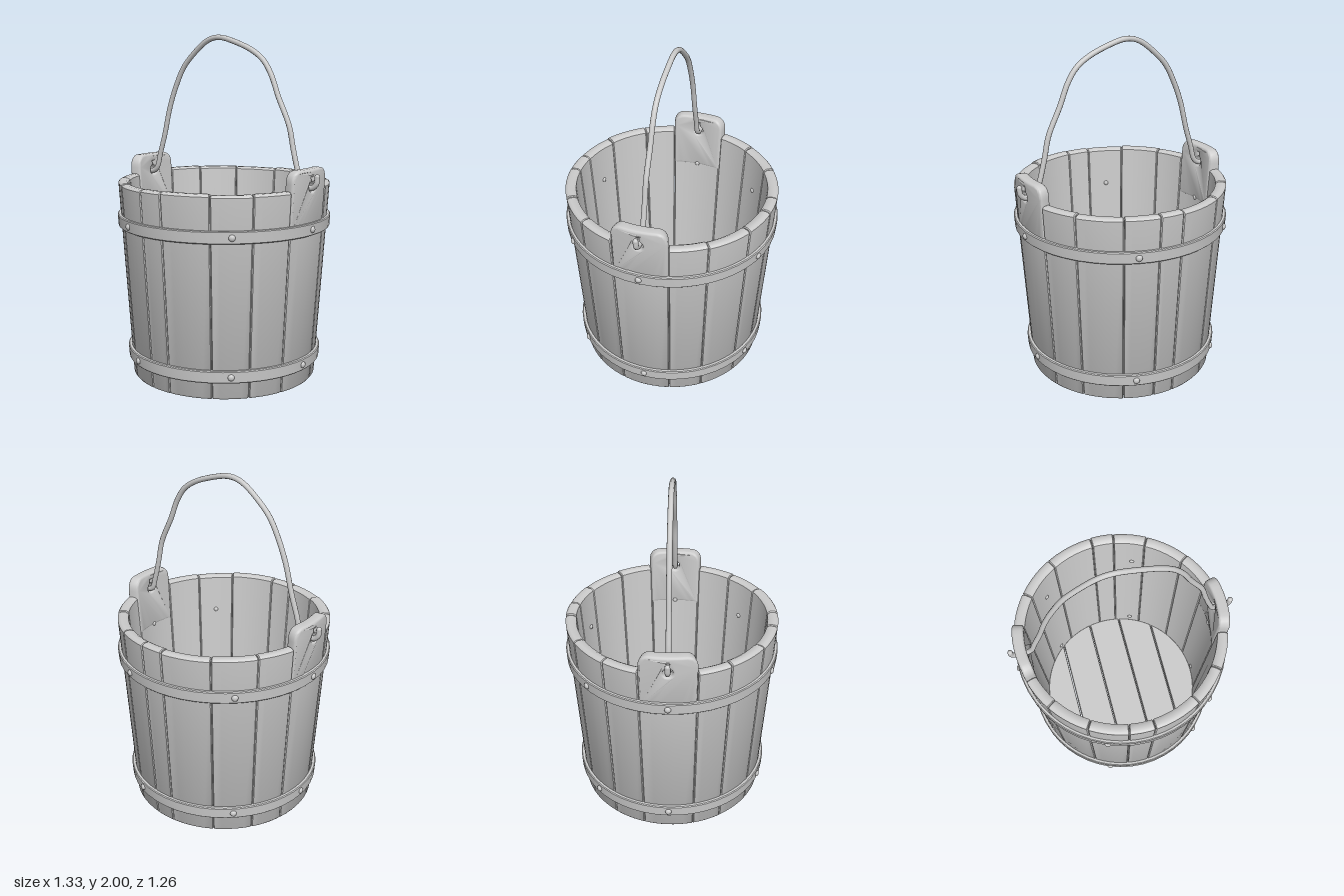
import * as THREE from 'three';
import { toCreasedNormals } from 'three/addons/utils/BufferGeometryUtils.js';

const material = new THREE.MeshStandardMaterial({ color: 0xcccccc });
const RIM = 1.165, WALL = 0.062, ARC = 0.6;
const rad = THREE.MathUtils.degToRad;
const outerR = (y) => 0.545 + 0.065 * y;

function addMesh(parent, geometry, name) {
  const mesh = new THREE.Mesh(geometry, material);
  mesh.name = name;
  parent.add(mesh);
  return mesh;
}

// Moves every vertex to polar form: rule returns [radius, height, angle from +x towards +z]
function bend(geometry, rule) {
  const p = geometry.attributes.position;
  for (let i = 0; i < p.count; i++) {
    const [r, y, a] = rule(p.getX(i), p.getY(i), p.getZ(i));
    p.setXYZ(i, r * Math.cos(a), y, r * Math.sin(a));
  }
  return toCreasedNormals(geometry, 0.6);
}

// A wall section swept around the axis between two angles
function stave(from, to, top) {
  const b = 0.005, c = 0.014;
  const o = (y) => outerR(y) - b, n = (y) => outerR(y) - WALL + b;
  const section = new THREE.Shape([
    [o(0) - 0.006, b], [o(0), b + 0.008], [o(top), top - c], [o(top) - 0.005, top - b - 0.003],
    [o(top) - c, top - b], [n(top) + c, top - b], [n(top), top - c], [n(0), b],
  ].map(([x, y]) => new THREE.Vector2(x, y)));
  const gap = 0.001;
  const geometry = new THREE.ExtrudeGeometry(section, {
    depth: (rad(to) - rad(from)) * ARC - 2 * (b + gap), steps: 5,
    bevelSize: b, bevelThickness: b, bevelSegments: 1,
  });
  return bend(geometry, (x, y, z) => [x, y, rad(from) + (z + b + gap) / ARC]);
}

// Tall, rounded upper end of a side stave, with a keyhole for the handle
function ear() {
  const b = 0.014, w = 0.162 - b, low = 0.94, high = 1.272 - b;
  const shape = new THREE.Shape();
  shape.moveTo(-w, low);
  for (let i = 1; i <= 10; i++) shape.lineTo(-w + (2 * w * i) / 10, low);
  shape.lineTo(w, high - 0.06);
  shape.quadraticCurveTo(w, high - 0.005, w - 0.045, high);
  for (let i = 1; i <= 8; i++) shape.lineTo((w - 0.045) * (1 - i / 4), high);
  shape.quadraticCurveTo(-w, high - 0.005, -w, high - 0.06);
  shape.closePath();
  const hole = new THREE.Path();
  hole.absarc(0, 1.172, 0.042, rad(60), rad(-240), true);
  hole.lineTo(-0.022, 1.24);
  hole.lineTo(0.022, 1.24);
  hole.closePath();
  shape.holes.push(hole);
  const geometry = new THREE.ExtrudeGeometry(shape, {
    depth: WALL + 0.004 - 2 * b, bevelSize: b, bevelThickness: b, bevelSegments: 3, curveSegments: 6,
  });
  return bend(geometry, (s, y, d) => [outerR(Math.min(y, 1.17)) - WALL + b + d - 0.002, y, -s / ARC]);
}

// Flat metal band following the taper of the wall
function hoop(y0, y1) {
  const t = 0.02, e = 0.005;
  const profile = [
    [outerR(y0) - 0.004, y0], [outerR(y0) + t - e, y0], [outerR(y0) + t, y0 + e],
    [outerR(y1) + t, y1 - e], [outerR(y1) + t - e, y1], [outerR(y1) - 0.004, y1],
  ].map(([x, y]) => new THREE.Vector2(x, y));
  return toCreasedNormals(new THREE.LatheGeometry(profile, 48), 0.6);
}

// Floor board: a strip of the disc between two x positions
function floorBoard(x0, x1, R) {
  const shape = new THREE.Shape();
  const edge = (x) => Math.sqrt(Math.max(0, R * R - x * x));
  const xs = [];
  for (let i = 0; i <= 10; i++) {
    const a = THREE.MathUtils.lerp(Math.acos(x0 / R), Math.acos(x1 / R), i / 10);
    xs.push(R * Math.cos(a));
  }
  xs.forEach((x, i) => (i ? shape.lineTo(x, -edge(x)) : shape.moveTo(x, -edge(x))));
  xs.reverse().forEach((x) => edge(x) > 0.001 && shape.lineTo(x, edge(x)));
  const geometry = new THREE.ExtrudeGeometry(shape, {
    depth: 0.04, bevelSize: 0.004, bevelThickness: 0.005, bevelSegments: 1,
  });
  return toCreasedNormals(geometry.rotateX(-Math.PI / 2), 0.6);
}

export function createModel() {
  const bucket = new THREE.Group();
  bucket.name = 'bucket';

  // Wall staves of uneven width; the two side staves stop under the upper hoop
  const staves = new THREE.Group();
  staves.name = 'staves';
  bucket.add(staves);
  const seams = [-15.5, 15.5, 37, 59, 86, 100, 122, 146, 164.5, 195.5, 216, 240, 267, 280, 299, 324, 344.5];
  for (let i = 0; i < seams.length - 1; i++) {
    const side = i === 0 || i === 8;
    const top = side ? 0.945 : RIM - 0.003 * (i % 3);
    addMesh(staves, stave(seams[i], seams[i + 1], top), side ? 'sideStave' : 'stave');
  }
  const earGeometry = ear();
  for (const turn of [0, Math.PI]) addMesh(staves, earGeometry, 'handleEar').rotation.y = turn;

  // Floor boards
  const floor = new THREE.Group();
  floor.name = 'floor';
  floor.position.y = 0.04;
  bucket.add(floor);
  const R = 0.487, cuts = [-R, -0.31, -0.1, 0.105, 0.31, R];
  for (let i = 0; i < 5; i++) {
    addMesh(floor, floorBoard(cuts[i] + (i ? 0.006 : 0), cuts[i + 1] - (i < 4 ? 0.006 : 0), R), 'floorBoard');
  }

  // Hoops with rivets that go through the wall
  const rivetGeometry = new THREE.SphereGeometry(0.019, 12, 8);
  for (const [name, y0, y1] of [['upperHoop', 0.898, 0.97], ['lowerHoop', 0.102, 0.174]]) {
    addMesh(bucket, hoop(y0, y1), name);
    const y = (y0 + y1) / 2;
    for (const angle of [0, 48, 111.5, 180, 228, 291.5]) {
      for (const [part, r, size] of [['rivet', outerR(y) + 0.02, 1], ['rivetTip', outerR(y) - WALL, 0.75]]) {
        const rivet = addMesh(bucket, rivetGeometry, part);
        rivet.position.set(r * Math.cos(rad(angle)), y, r * Math.sin(rad(angle)));
        rivet.rotation.y = -rad(angle);
        rivet.scale.set(0.7 * size, size, size);
      }
    }
  }

  // Bent wire handle, hooked outwards through both ears
  const path = new THREE.CatmullRomCurve3([
    [-0.648, 1.23], [-0.643, 1.19], [-0.615, 1.167], [-0.56, 1.166], [-0.528, 1.19], [-0.5, 1.28],
    [-0.462, 1.4], [-0.42, 1.56], [-0.37, 1.69], [-0.305, 1.81], [-0.22, 1.897], [-0.14, 1.958],
    [-0.08, 1.982], [-0.02, 1.985], [0.06, 1.967], [0.2, 1.915], [0.28, 1.86], [0.335, 1.78],
    [0.385, 1.66], [0.46, 1.5], [0.49, 1.37], [0.525, 1.24], [0.55, 1.175], [0.615, 1.165],
    [0.645, 1.19], [0.65, 1.23],
  ].map(([x, y]) => new THREE.Vector3(x, y, 0)));
  const handle = new THREE.Group();
  handle.name = 'handle';
  bucket.add(handle);
  addMesh(handle, new THREE.TubeGeometry(path, 160, 0.0155, 10), 'handleWire');
  for (const t of [0, 1]) {
    addMesh(handle, new THREE.SphereGeometry(0.0155, 10, 8), 'handleTip').position.copy(path.getPoint(t));
  }
  return bucket;
}
